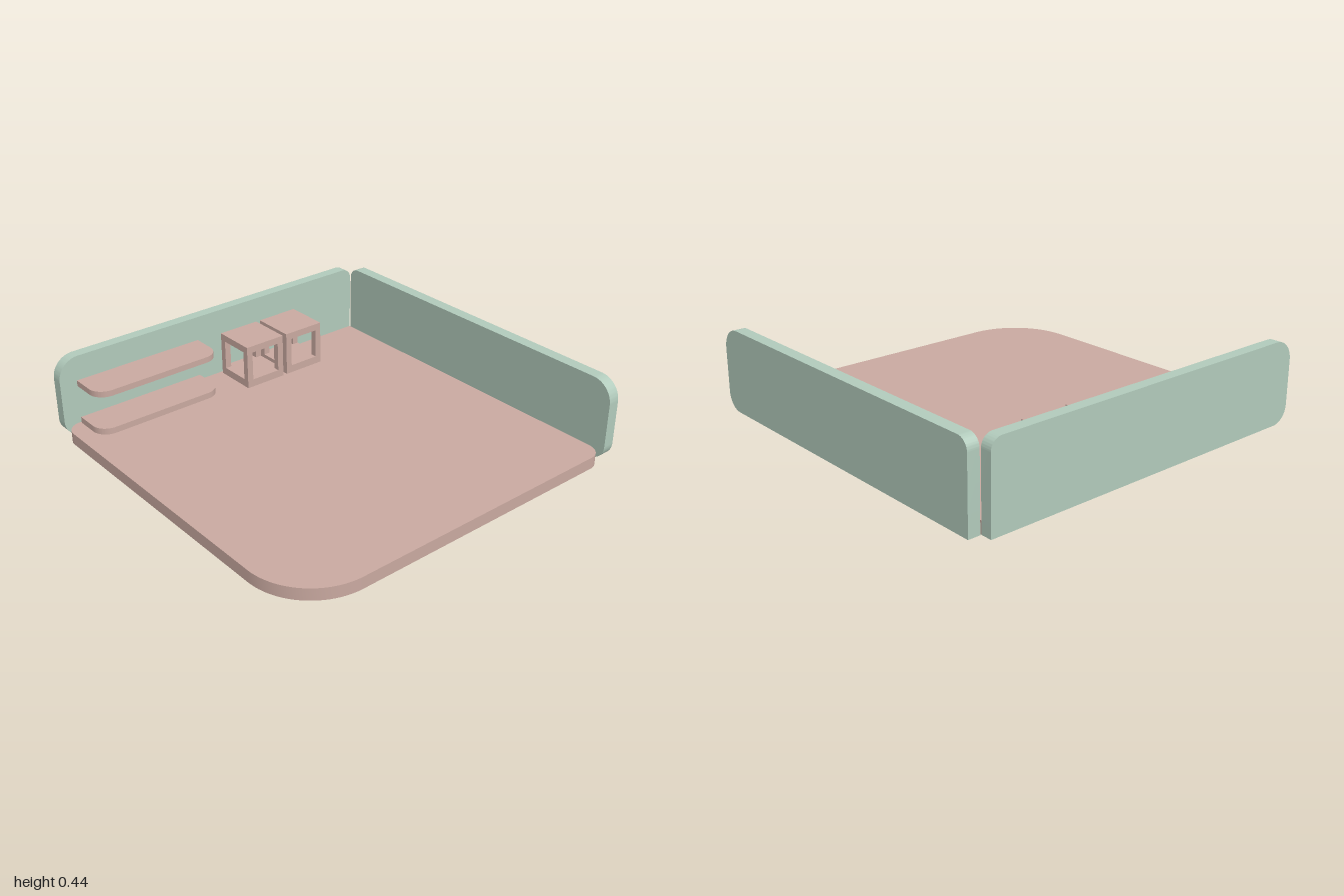
import * as THREE from 'three';
import { toCreasedNormals } from 'three/addons/utils/BufferGeometryUtils.js';

// Rectangle with one radius per corner: [lower left, lower right, upper right, upper left]
function roundedRect(x0, y0, x1, y1, [a, b, c, d]) {
  const s = new THREE.Shape();
  const H = Math.PI / 2;
  s.moveTo(x0 + a, y0);
  s.lineTo(x1 - b, y0);
  if (b) s.absarc(x1 - b, y0 + b, b, -H, 0);
  s.lineTo(x1, y1 - c);
  if (c) s.absarc(x1 - c, y1 - c, c, 0, H);
  s.lineTo(x0 + d, y1);
  if (d) s.absarc(x0 + d, y1 - d, d, H, 2 * H);
  s.lineTo(x0, y0 + a);
  if (a) s.absarc(x0 + a, y0 + a, a, 2 * H, 3 * H);
  return s;
}

function slab(shape, depth) {
  return new THREE.ExtrudeGeometry(shape, { depth, bevelEnabled: false, curveSegments: 12 });
}

export function createModel() {
  const model = new THREE.Group();
  model.name = 'corner platform';

  const pink = new THREE.MeshStandardMaterial({ color: 0xc9a9a0 });
  pink.name = 'dusty pink';
  const green = new THREE.MeshStandardMaterial({ color: 0xb1cabb });
  green.name = 'sage green';

  const add = (name, geometry, material, parent = model) => {
    const mesh = new THREE.Mesh(toCreasedNormals(geometry, 0.5), material);
    mesh.name = name;
    parent.add(mesh);
    return mesh;
  };

  // Horizontal plate; plan given as x and z ranges, radii [front left, front right, back right, back left]
  const plate = (name, x0, x1, zBack, zFront, y, height, radii) => {
    const g = slab(roundedRect(x0, -zFront, x1, -zBack, radii), height);
    g.rotateX(-Math.PI / 2).translate(0, y, 0);
    return add(name, g, pink);
  };

  // Floor with one large rounded corner
  const floorTop = 0.064;
  plate('floor', -1, 0.93, -0.935, 0.995, 0, floorTop, [0.35, 0.085, 0, 0.085]);

  // Back wall, and side wall turned a quarter
  const back = slab(roundedRect(-1, 0, 0.93, 0.44, [0.09, 0, 0.06, 0.115]), 0.06);
  add('backWall', back.translate(0, 0, -0.995), green);
  const side = slab(roundedRect(-0.995, 0, 0.935, 0.44, [0.09, 0, 0.06, 0.115]), 0.064);
  add('sideWall', side.rotateY(Math.PI / 2).translate(0.936, 0, 0), green);

  // Two shelves, rounded at the front
  plate('lowerShelf', -0.91, -0.17, -0.925, -0.72, floorTop, 0.034, [0.085, 0.085, 0, 0]);
  plate('upperShelf', -0.91, -0.17, -0.925, -0.72, 0.279, 0.032, [0.085, 0.085, 0, 0]);

  // Open cubes: base, top and four corner posts
  const size = 0.242, post = 0.035, cubeTop = 0.308;
  const baseTop = 0.107, lidBottom = 0.27;
  [0.1, 0.367].forEach((cx, i) => {
    const cube = new THREE.Group();
    cube.name = i ? 'rightCube' : 'leftCube';
    cube.position.set(cx, 0, -0.798);
    model.add(cube);

    const box = (name, w, y0, y1, x = 0, z = 0) => {
      const g = new THREE.BoxGeometry(w, y1 - y0, w);
      add(name, g.translate(x, (y0 + y1) / 2, z), pink, cube);
    };
    box('cubeBase', size, floorTop, baseTop);
    box('cubeTop', size, lidBottom, cubeTop);
    const o = (size - post) / 2;
    for (const sx of [-1, 1]) {
      for (const sz of [-1, 1]) box('cubePost', post, baseTop, lidBottom, sx * o, sz * o);
    }
  });

  return model;
}
